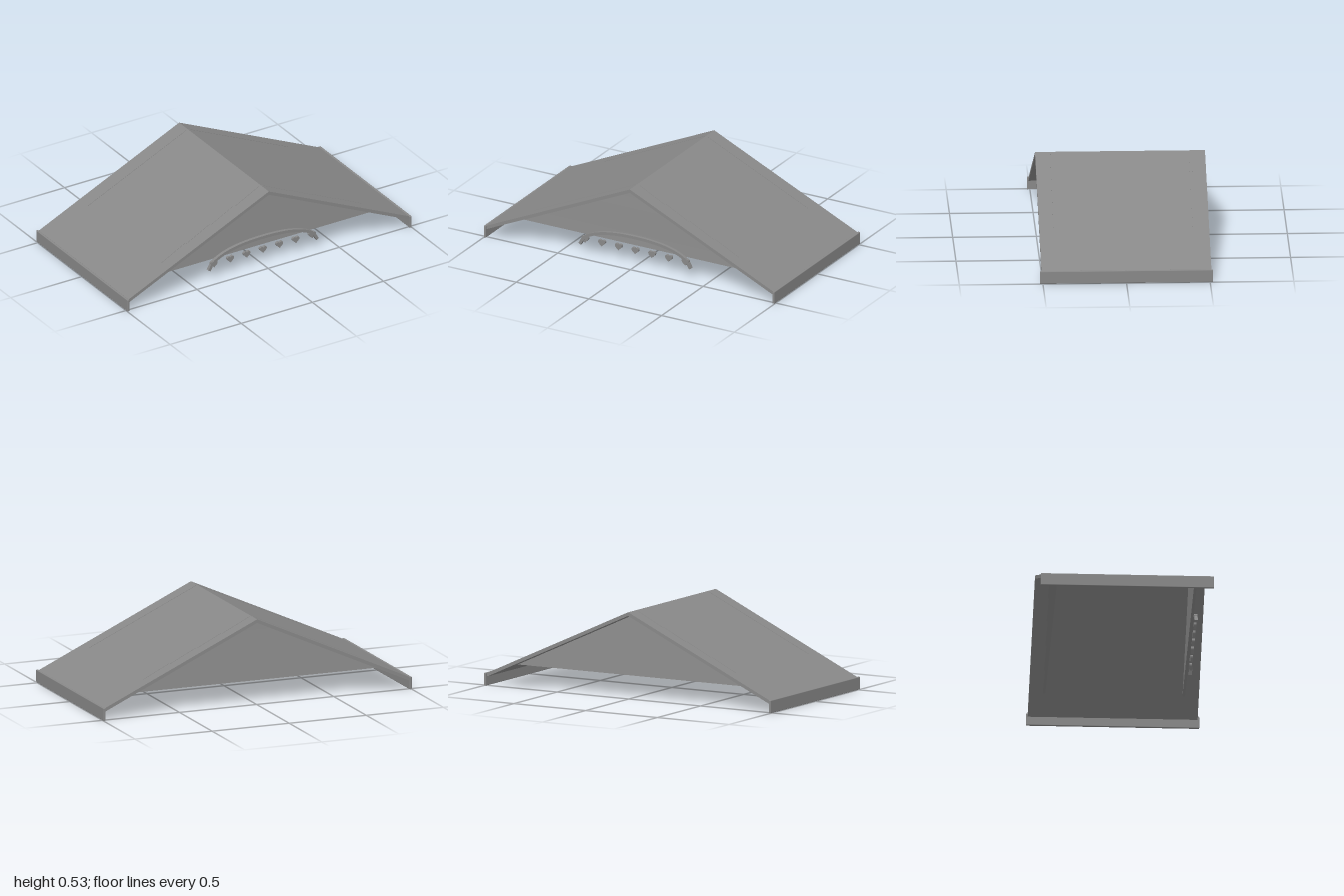
import * as THREE from 'three';
import { RoundedBoxGeometry } from 'three/addons/geometries/RoundedBoxGeometry.js';

const RIDGE = 0.526, SLOPE = 0.457, EAVE = 0.995;

// Extrude a flat shape along z, centred on z = 0
function slab(shape, depth, curveSegments = 8) {
  const geo = new THREE.ExtrudeGeometry(shape, { depth, bevelEnabled: false, curveSegments });
  return geo.translate(0, 0, -depth / 2);
}

// Lapped board: a box reshaped to follow the slope, thick at its lower edge
function lapBoard(y0, y1, w0, w1) {
  const geo = new THREE.BoxGeometry(2, 1, 1);
  const p = geo.attributes.position;
  for (let i = 0; i < p.count; i++) {
    const top = p.getY(i) > 0;
    const front = p.getZ(i) > 0;
    p.setXYZ(i, p.getX(i) * (top ? w1 : w0), top ? y1 : y0, front ? (top ? 0.004 : 0.016) : 0);
  }
  geo.computeVertexNormals();
  return geo;
}

function heartShape(w, h) {
  const s = new THREE.Shape();
  s.moveTo(0, -h / 2);
  s.bezierCurveTo(w * 0.2, -h * 0.25, w * 0.5, -h * 0.05, w * 0.5, h * 0.2);
  s.bezierCurveTo(w * 0.5, h * 0.55, w * 0.1, h * 0.6, 0, h * 0.28);
  s.bezierCurveTo(-w * 0.1, h * 0.6, -w * 0.5, h * 0.55, -w * 0.5, h * 0.2);
  s.bezierCurveTo(-w * 0.5, -h * 0.05, -w * 0.2, -h * 0.25, 0, -h / 2);
  return s;
}

// Curved band of constant width around a centre line
function bandShape(points, width) {
  const curve = new THREE.CatmullRomCurve3(points.map(([x, y]) => new THREE.Vector3(x, y, 0)));
  const outer = [], inner = [];
  for (let i = 0; i <= 48; i++) {
    const c = curve.getPointAt(i / 48), t = curve.getTangentAt(i / 48);
    outer.push(new THREE.Vector2(c.x - t.y * width / 2, c.y + t.x * width / 2));
    inner.unshift(new THREE.Vector2(c.x + t.y * width / 2, c.y - t.x * width / 2));
  }
  return new THREE.Shape([...outer, ...inner]);
}

export function createModel() {
  const model = new THREE.Group();
  model.name = 'gableRoof';
  const grey = new THREE.MeshStandardMaterial({ color: 0x888888 });
  grey.name = 'grey';
  const add = (parent, name, geo, x = 0, y = 0, z = 0) => {
    const mesh = new THREE.Mesh(geo, grey);
    mesh.name = name;
    mesh.position.set(x, y, z);
    parent.add(mesh);
    return mesh;
  };

  // Two roof slopes as one thin chevron
  const eaveY = RIDGE - SLOPE * EAVE, thick = 0.022;
  const chevron = new THREE.Shape([
    [-EAVE, eaveY - thick], [0, RIDGE - thick], [EAVE, eaveY - thick],
    [EAVE, eaveY], [0, RIDGE], [-EAVE, eaveY],
  ].map(([x, y]) => new THREE.Vector2(x, y)));
  add(model, 'roofSlopes', slab(chevron, 1.016));

  // Eave boards along both sides
  for (const side of [-1, 1]) {
    add(model, side > 0 ? 'leftEaveBoard' : 'rightEaveBoard',
      new RoundedBoxGeometry(0.015, 0.077, 1.036, 2, 0.004), side * 0.9925, 0.0385, 0);
  }

  // Lapped siding in both gables, upper boards just breaking through the slopes
  const rows = [0.13, 0.205, 0.285, 0.365, 0.44, 0.522];
  const halfWidth = (y) => (RIDGE + 0.002 - y) / SLOPE;
  for (const side of [1, -1]) {
    const gable = new THREE.Group();
    gable.name = side > 0 ? 'frontGable' : 'backGable';
    for (let i = 0; i < rows.length - 1; i++) {
      const trim = i === 0 ? 0.02 : 0;
      add(gable, 'sidingBoard',
        lapBoard(rows[i], rows[i + 1], halfWidth(rows[i]) - trim, halfWidth(rows[i + 1]) - trim));
    }
    gable.position.z = side * 0.41;
    if (side < 0) gable.rotation.y = Math.PI;
    model.add(gable);
  }

  // Curved trim and row of hearts on the front
  const trimGroup = new THREE.Group();
  trimGroup.name = 'frontTrim';
  trimGroup.position.z = 0.438;
  const half = [[0.38, 0.067], [0.352, 0.112], [0.29, 0.147], [0.2, 0.172], [0.1, 0.184]];
  const path = [...half.map(([x, y]) => [-x, y]), [0, 0.187], ...[...half].reverse()];
  add(trimGroup, 'archBand', slab(bandShape(path, 0.018), 0.02));
  const heart = slab(heartShape(0.048, 0.042), 0.016);
  for (let i = -3; i <= 3; i++) add(trimGroup, 'heart', heart, i * 0.115, 0.102, 0);
  model.add(trimGroup);

  return model;
}
